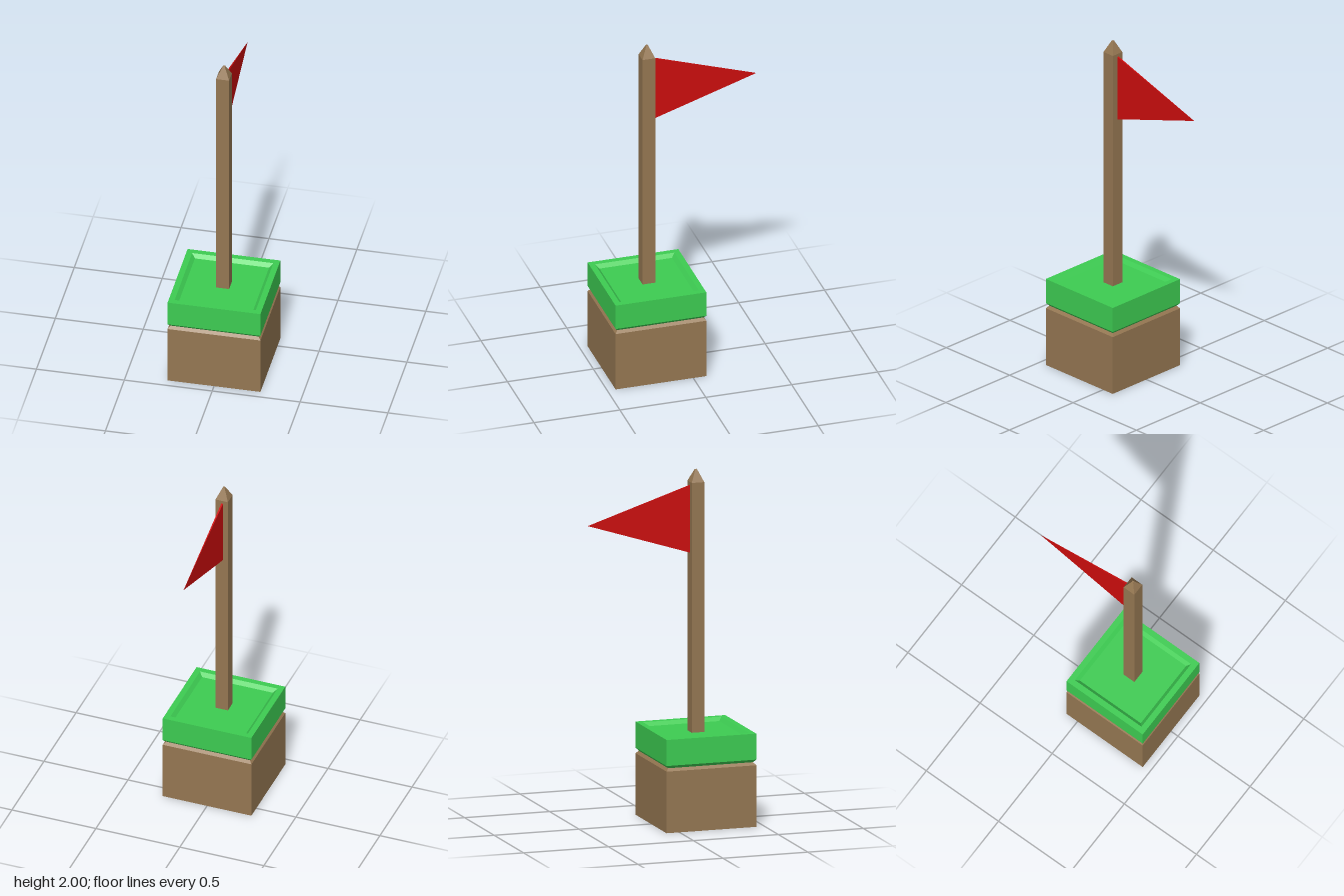
import * as THREE from 'three';

const earth = new THREE.MeshStandardMaterial({ color: 0x957752 });
earth.name = 'earthBrown';
const grass = new THREE.MeshStandardMaterial({ color: 0x3dcc52 });
grass.name = 'grassGreen';
const cloth = new THREE.MeshStandardMaterial({ color: 0xcc0d0d });
cloth.name = 'flagRed';

const AXIS_Z = 0.188; // the block and pole stand forward of the centre

// Square-section solid from [half width, y] rings, listed bottom to top, with flat faces
function squareLoft(rings) {
  const points = rings.map(([half, y]) => new THREE.Vector2(half * Math.SQRT2, y));
  const geometry = new THREE.LatheGeometry(points, 4, Math.PI / 4).toNonIndexed();
  geometry.computeVertexNormals();
  return geometry;
}

function part(name, geometry, material, z = 0) {
  const mesh = new THREE.Mesh(geometry, material);
  mesh.name = name;
  mesh.position.z = z;
  return mesh;
}

export function createModel() {
  const group = new THREE.Group();
  group.name = 'flagOnBlock';

  // Earth block with a bevelled top edge
  group.add(part('earthBlock', squareLoft([
    [0, 0], [0.264, 0], [0.264, 0.35], [0.25, 0.366], [0, 0.366],
  ]), earth, AXIS_Z));

  // Grass slab: bevelled underside, sunken panel on top
  group.add(part('grassSlab', squareLoft([
    [0, 0.366], [0.25, 0.366], [0.264, 0.382], [0.264, 0.53],
    [0.231, 0.53], [0.211, 0.51], [0, 0.51],
  ]), grass, AXIS_Z));

  // Square pole with a blunt pointed tip
  group.add(part('pole', squareLoft([
    [0, 0.5], [0.037, 0.5], [0.037, 1.93], [0.005, 2], [0, 2],
  ]), earth, AXIS_Z));

  // Pennant: a thin wedge tapering to a point towards the back
  const pennant = squareLoft([[0, 0], [1, 0], [0, 1]]);
  pennant.scale(0.005, 0.605, 0.193);
  pennant.rotateX(-Math.PI / 2);
  pennant.translate(-0.003, 1.72, 0.155);
  group.add(part('pennant', pennant, cloth));

  return group;
}
